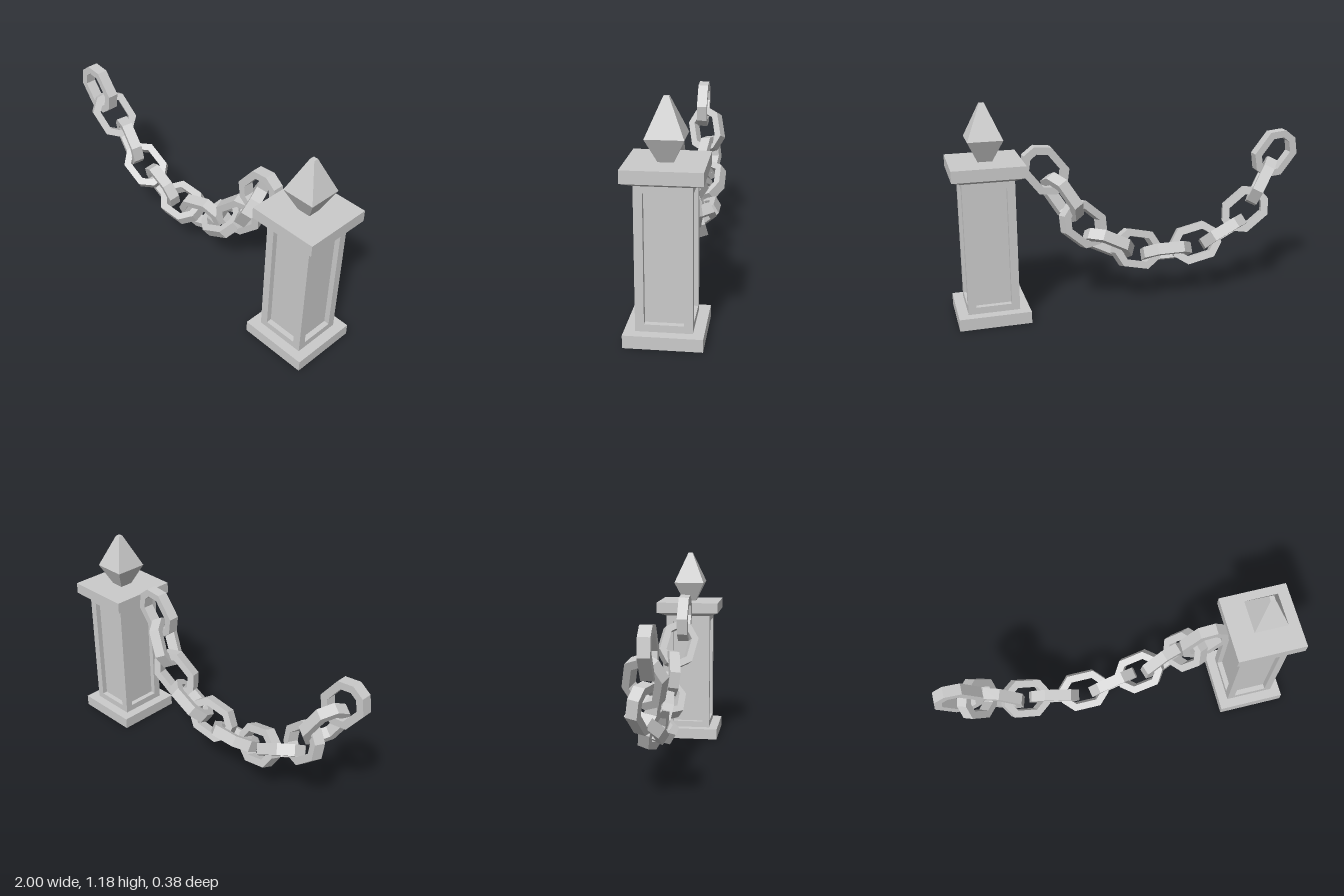
import * as THREE from 'three';

const mat = new THREE.MeshStandardMaterial({ color: 0xcccccc, flatShading: true });

function add(parent, name, geo, x = 0, y = 0, z = 0) {
  const m = new THREE.Mesh(geo, mat);
  m.name = name;
  m.position.set(x, y, z);
  parent.add(m);
  return m;
}

// Box between two heights, centred on (x, z)
function slab(parent, name, w, y0, y1, d = w, x = 0, z = 0) {
  return add(parent, name, new THREE.BoxGeometry(w, y1 - y0, d), x, (y0 + y1) / 2, z);
}

// Square frustum between two heights, given half widths
function taper(parent, name, bottom, top, y0, y1) {
  const g = new THREE.CylinderGeometry(top * Math.SQRT2, bottom * Math.SQRT2, y1 - y0, 4);
  g.rotateY(Math.PI / 4);
  return add(parent, name, g, 0, (y0 + y1) / 2, 0);
}

function createPost() {
  const post = new THREE.Group();
  post.name = 'post';
  post.position.x = 0.807;
  slab(post, 'base', 0.384, 0, 0.065);
  // shaft: recessed core framed by corner stiles and rails
  slab(post, 'recessedPanels', 0.216, 0.065, 0.785);
  for (const sx of [-1, 1]) for (const sz of [-1, 1])
    slab(post, 'cornerStile', 0.043, 0.102, 0.75, 0.043, sx * 0.1165, sz * 0.1165);
  slab(post, 'bottomRail', 0.276, 0.065, 0.102);
  slab(post, 'topRail', 0.276, 0.75, 0.785);
  taper(post, 'capFlare', 0.138, 0.188, 0.785, 0.808);
  slab(post, 'cap', 0.384, 0.808, 0.872);
  // pointed finial
  taper(post, 'finialLower', 0.038, 0.093, 0.872, 0.99);
  taper(post, 'finialUpper', 0.093, 0.013, 0.99, 1.176);
  return post;
}

// Long octagon: half length, half width, half side, half cap
function octagon(target, l, w, s, c) {
  const pts = [[l, -c], [l, c], [s, w], [-s, w], [-l, c], [-l, -c], [-s, -w], [s, -w]];
  target.setFromPoints(pts.map(([x, y]) => new THREE.Vector2(x, y)));
  return target;
}

function linkGeometry() {
  const shape = octagon(new THREE.Shape(), 0.142, 0.106, 0.077, 0.038);
  shape.holes.push(octagon(new THREE.Path(), 0.102, 0.066, 0.06, 0.022));
  const g = new THREE.ExtrudeGeometry(shape, { depth: 0.062, bevelEnabled: false });
  g.translate(0, 0, -0.031);
  return g;
}

function createChain() {
  const chain = new THREE.Group();
  chain.name = 'chain';
  const geo = linkGeometry();
  const middle = -0.19;
  // Distance from the middle, height, z, pitch, roll (degrees), lean along z
  const links = [
    [0.677, 0.795, 0, -52, 0, 0],
    [0.59, 0.64, -0.03, -58, 65, -0.2],
    [0.48, 0.487, -0.055, -42, -18, 0.14],
    [0.342, 0.365, -0.065, -27, 60, 0],
    [0.178, 0.312, -0.055, -15, -18, 0.12],
    [0, 0.28, -0.06, 0, 60, 0],
  ];
  links.forEach(([dx, y, z, pitch, roll, lean], i) => {
    for (const side of dx ? [-1, 1] : [-1]) {
      const p = THREE.MathUtils.degToRad(pitch), r = THREE.MathUtils.degToRad(roll);
      // long axis, then width axis rolled about it
      const u = new THREE.Vector3(-side * Math.cos(p), Math.sin(p), lean).normalize();
      const w = new THREE.Vector3(side * Math.sin(p) * Math.cos(r), Math.cos(p) * Math.cos(r), -Math.sin(r));
      w.addScaledVector(u, -w.dot(u)).normalize();
      const n = new THREE.Vector3().crossVectors(u, w);
      const link = add(chain, 'chainLink' + (i + 1) + (side < 0 ? 'Right' : 'Left'), geo, middle + side * dx, y, z);
      link.quaternion.setFromRotationMatrix(new THREE.Matrix4().makeBasis(u, w, n));
    }
  });
  return chain;
}

export function createModel() {
  const model = new THREE.Group();
  model.name = 'chainPost';
  model.add(createPost(), createChain());
  return model;
}
